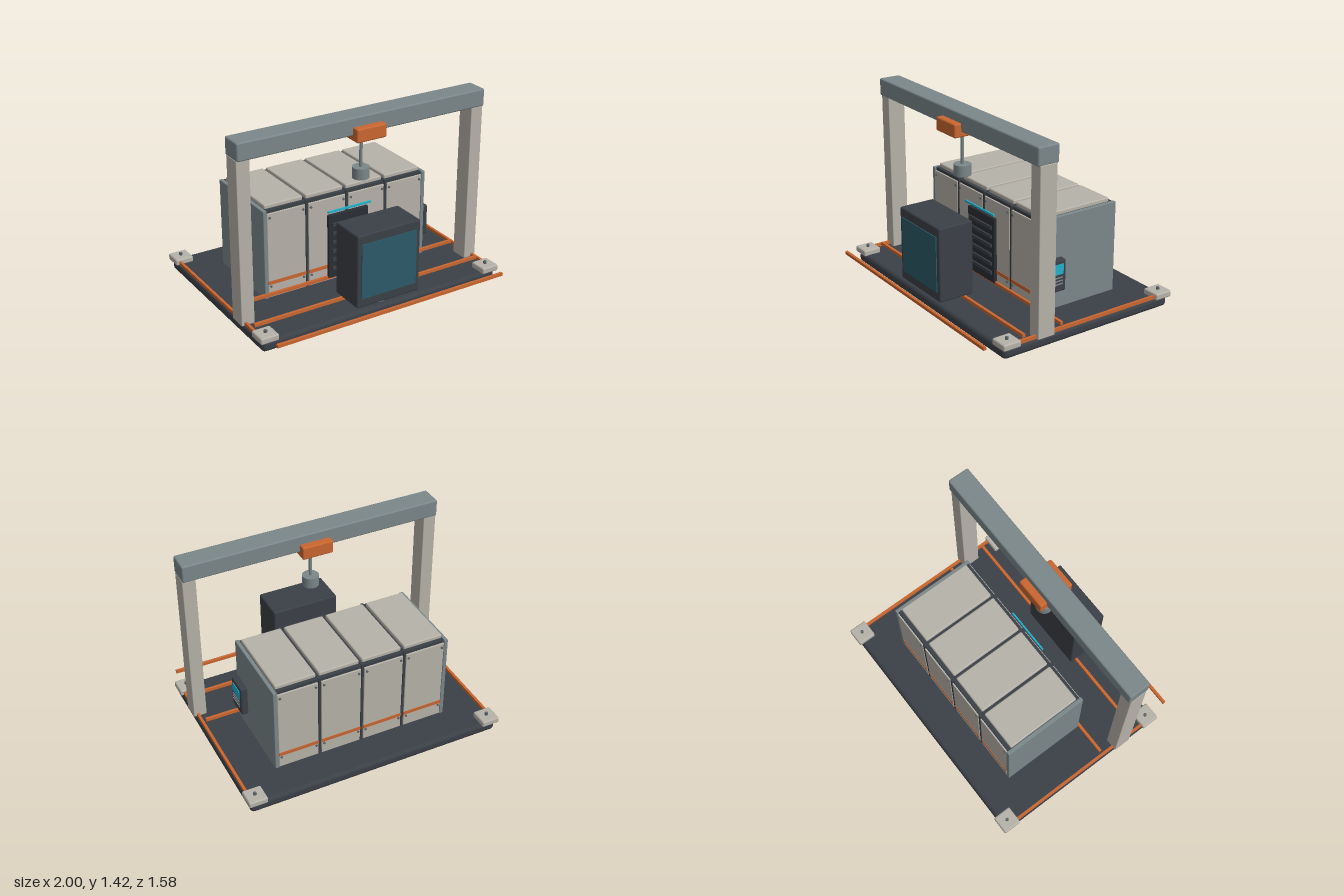
import * as THREE from 'three';
import { RoundedBoxGeometry } from 'three/addons/geometries/RoundedBoxGeometry.js';

const mat = (name, color) => Object.assign(new THREE.MeshStandardMaterial({ color }), { name });

export function createModel() {
  const beige = mat('beige paint', 0xb6b2a9);
  const grey = mat('grey steel', 0x7b878a);
  const dark = mat('dark charcoal', 0x3b4047);
  const black = mat('black vent', 0x2a2e34);
  const orange = mat('safety orange', 0xc96630);
  const screen = mat('dark teal screen', 0x2b5a68);
  const cyan = mat('cyan light', 0x20b0cc);
  const bolt = mat('bolt grey', 0x5d6468);

  const model = new THREE.Group();
  model.name = 'gantryStation';

  const add = (name, geometry, material, x, y, z) => {
    const mesh = new THREE.Mesh(geometry, material);
    mesh.name = name;
    mesh.position.set(x, y, z);
    model.add(mesh);
    return mesh;
  };
  // Box given by its limits on each axis; r rounds the edges
  const box = (name, material, [x0, x1], [y0, y1], [z0, z1], r = 0) => {
    const size = [x1 - x0, y1 - y0, z1 - z0];
    const geometry = r ? new RoundedBoxGeometry(...size, 2, r) : new THREE.BoxGeometry(...size);
    return add(name, geometry, material, (x0 + x1) / 2, (y0 + y1) / 2, (z0 + z1) / 2);
  };
  const cylinder = (name, material, r, y0, y1, x, z, sides = 24) =>
    add(name, new THREE.CylinderGeometry(r, r, y1 - y0, sides), material, x, (y0 + y1) / 2, z);
  const around = (c, half) => [c - half, c + half];

  // Base plate with corner feet
  box('basePlate', dark, [-0.98, 0.98], [0, 0.083], [-0.769, 0.655], 0.03);
  for (const x of [-0.93, 0.93]) {
    for (const z of [0.6, -0.72]) {
      box('cornerFoot', beige, around(x, 0.07), [0.075, 0.124], around(z, 0.07), 0.012);
      cylinder('footBolt', bolt, 0.013, 0.12, 0.142, x, z, 6);
    }
  }

  // Floor rails
  for (const x of [-0.967, 0.967])
    box('sideRail', orange, around(x, 0.01), [0.083, 0.108], [-0.67, 0.55]);
  for (const z of [0.155, 0.469, 0.782])
    box('crossRail', orange, [-0.943, 0.943], [0.103, 0.126], around(z, 0.011));

  // Gantry with trolley and hanging weight
  const gantryZ = 0.324;
  for (const x of [-0.948, 0.948])
    box('gantryPost', beige, around(x, 0.05), [0.08, 1.3], around(gantryZ, 0.068), 0.006);
  box('gantryBeam', grey, [-0.997, 0.997], [1.294, 1.425], around(gantryZ, 0.084), 0.012);
  box('trolley', orange, around(0, 0.12), [1.255, 1.356], around(gantryZ, 0.138), 0.012);
  cylinder('hoistRod', grey, 0.012, 1.0, 1.26, 0, gantryZ, 12);
  cylinder('hoistWeight', grey, 0.062, 0.936, 1.017, 0, gantryZ);

  // Cabinet core and side walls
  box('cabinetCore', dark, [-0.66, 0.66], [0.08, 0.763], [-0.5, 0.136]);
  for (const s of [-1, 1])
    box('cabinetSide', grey, around(s * 0.667, 0.015), [0.08, 0.764], [-0.513, 0.15], 0.005);
  for (const x of [-0.332, 0, 0.332])
    box('divider', dark, around(x, 0.009), [0.08, 0.768], [-0.508, 0.145]);

  // Cabinet bays: lid, front and back panels, stripes and screws
  for (let i = 0; i < 4; i++) {
    const x = (i - 1.5) * 0.332;
    box('lid', beige, around(x, 0.154), [0.758, 0.793], [-0.473, 0.11], 0.01);
    for (const [s, z] of [[1, 0.138], [-1, -0.502]]) {
      box('bayPanel', beige, around(x, 0.153), [0.085, 0.74], around(z, 0.009), 0.004);
      box('bayStripe', orange, around(x, 0.153), [0.187, 0.214], around(z + s * 0.01, 0.003));
      for (const dx of [-0.135, 0.135]) {
        for (const y of [0.707, 0.172]) {
          const screw = cylinder('panelScrew', bolt, 0.009, -0.006, 0.006, x + dx, z + s * 0.01, 10);
          screw.position.y = y;
          screw.rotation.x = Math.PI / 2;
        }
      }
    }
  }

  // Louvred vent with light bar on the cabinet front
  box('ventPanel', black, around(0, 0.168), [0.112, 0.616], [0.146, 0.172], 0.006);
  for (let i = 0; i < 6; i++)
    box('ventSlat', dark, around(0, 0.14), around(0.19 + i * 0.07, 0.012), [0.17, 0.184]);
  box('lightBar', cyan, around(0, 0.18), around(0.65, 0.007), [0.176, 0.188]);

  // Free-standing monitor
  cylinder('monitorStand', grey, 0.06, 0.08, 0.145, 0, 0.551);
  box('monitorCase', dark, [-0.259, 0.259], [0.138, 0.693], [0.413, 0.69], 0.012);
  box('monitorScreen', screen, around(0, 0.226), [0.208, 0.624], [0.688, 0.697]);

  // Control box on the left wall
  box('controlBox', dark, [0.675, 0.733], [0.227, 0.465], [-0.04, 0.131], 0.012);
  box('controlScreen', cyan, [0.731, 0.738], [0.36, 0.436], [-0.015, 0.104]);
  for (const y of [0.335, 0.311, 0.287])
    box('controlSlot', grey, [0.731, 0.738], around(y, 0.004), [-0.01, 0.108]);

  return model;
}
